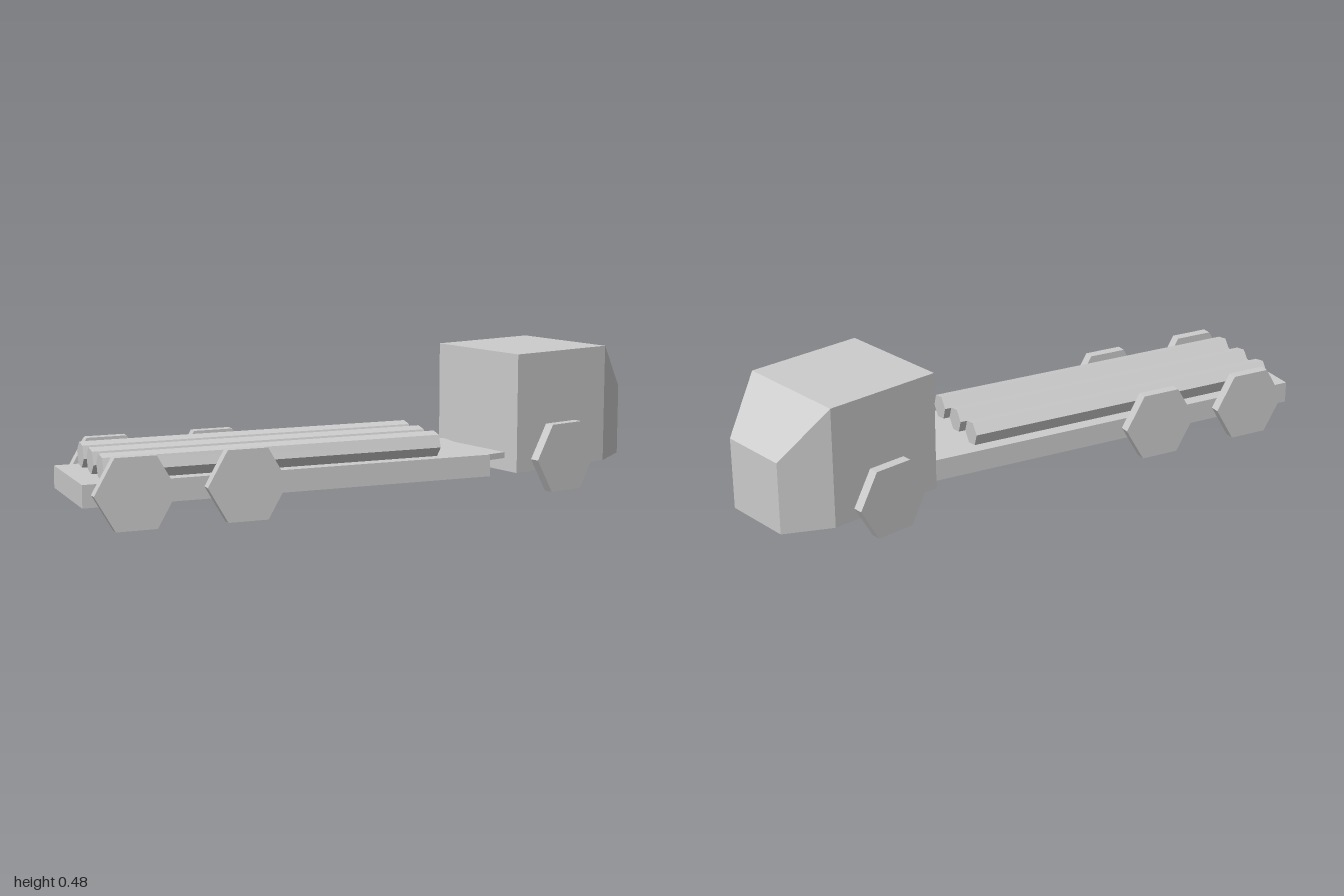
import * as THREE from 'three';

const material = new THREE.MeshStandardMaterial({ color: 0xcccccc, flatShading: true });

function part(name, geometry, x, y, z, parent) {
  const mesh = new THREE.Mesh(geometry, material);
  mesh.name = name;
  mesh.position.set(x, y, z);
  parent.add(mesh);
  return mesh;
}

// Six-sided wheel with its axle along x and flats at top and bottom
function wheelGeometry() {
  return new THREE.CylinderGeometry(0.133, 0.133, 0.034, 6).rotateZ(Math.PI / 2);
}

// Cab: tapered plan raised to full height, with the nose's top edge lowered
function cabGeometry() {
  const plan = new THREE.Shape([
    [-0.201, 0.445], [0.201, 0.445], [0.201, 0.85], [0.122, 1], [-0.122, 1], [-0.201, 0.85],
  ].map(([x, y]) => new THREE.Vector2(x, y)));
  const g = new THREE.ExtrudeGeometry(plan, { depth: 0.4, bevelEnabled: false }).rotateX(-Math.PI / 2);
  const p = g.attributes.position;
  for (let i = 0; i < p.count; i++) {
    if (p.getZ(i) < -0.99 && p.getY(i) > 0.2) p.setY(i, 0.24);
  }
  // the roof is split at the slope so that both faces stay flat
  const front = [[-0.201, 0.4, -0.85], [0.201, 0.4, -0.85], [0.122, 0.24, -1], [-0.122, 0.24, -1]];
  const rear = [[-0.201, 0.4, -0.445], [0.201, 0.4, -0.445], [0.201, 0.4, -0.85], [-0.201, 0.4, -0.85]];
  const positions = [];
  for (let i = 0; i < p.count; i += 3) {
    const rows = [0, 1, 2].map((k) => [p.getX(i + k), p.getY(i + k), p.getZ(i + k)]);
    if (rows.every((r) => r[1] > 0.2)) continue;
    positions.push(...rows.flat());
  }
  for (const q of [front, rear]) {
    for (const k of [0, 2, 1, 0, 3, 2]) positions.push(...(q === front ? q[[1, 0, 3, 2][k]] : q[[0, 3, 2, 1][[0, 3, 2, 1][k]]]));
  }
  const out = new THREE.BufferGeometry();
  out.setAttribute('position', new THREE.Float32BufferAttribute(positions, 3));
  // turn any roof triangle that faces down
  const a = out.attributes.position;
  for (let i = a.count - 12; i < a.count; i += 3) {
    const v = [0, 1, 2].map((k) => new THREE.Vector3().fromBufferAttribute(a, i + k));
    const n = v[1].clone().sub(v[0]).cross(v[2].clone().sub(v[0]));
    if (n.y < 0) {
      a.setXYZ(i + 1, v[2].x, v[2].y, v[2].z);
      a.setXYZ(i + 2, v[1].x, v[1].y, v[1].z);
    }
  }
  out.computeVertexNormals();
  return out;
}

export function createModel() {
  const model = new THREE.Group();
  model.name = 'logTruck';

  // Tractor
  const tractor = new THREE.Group();
  tractor.name = 'tractor';
  tractor.position.x = 0.15;
  model.add(tractor);
  part('cab', cabGeometry(), 0, 0.075, 0, tractor);
  for (const side of [-1, 1]) part('cabWheel', wheelGeometry(), side * 0.218, 0.115, -0.643, tractor);
  part('hitchPlate', new THREE.BoxGeometry(0.255, 0.02, 0.103), 0.013, 0.128, -0.408, tractor);

  // Trailer, turned at the hitch
  const trailer = new THREE.Group();
  trailer.name = 'trailer';
  trailer.position.set(-0.013, 0, 0.285);
  trailer.rotation.y = -Math.PI / 12;
  model.add(trailer);
  part('trailerBed', new THREE.BoxGeometry(0.358, 0.073, 1.383), 0, 0.1115, 0, trailer);
  for (const side of [-1, 1]) {
    for (const z of [0.161, 0.523]) part('trailerWheel', wheelGeometry(), side * 0.196, 0.115, z + side * 0.008, trailer);
  }

  // Three six-sided logs, rolled slightly
  for (const i of [-1, 0, 1]) {
    const log = new THREE.CylinderGeometry(0.043, 0.043, 1.137, 6)
      .rotateX(Math.PI / 2)
      .rotateZ(THREE.MathUtils.degToRad(-10 + 30));
    part('log', log, i * 0.119, 0.188, 0.05, trailer);
  }
  return model;
}
